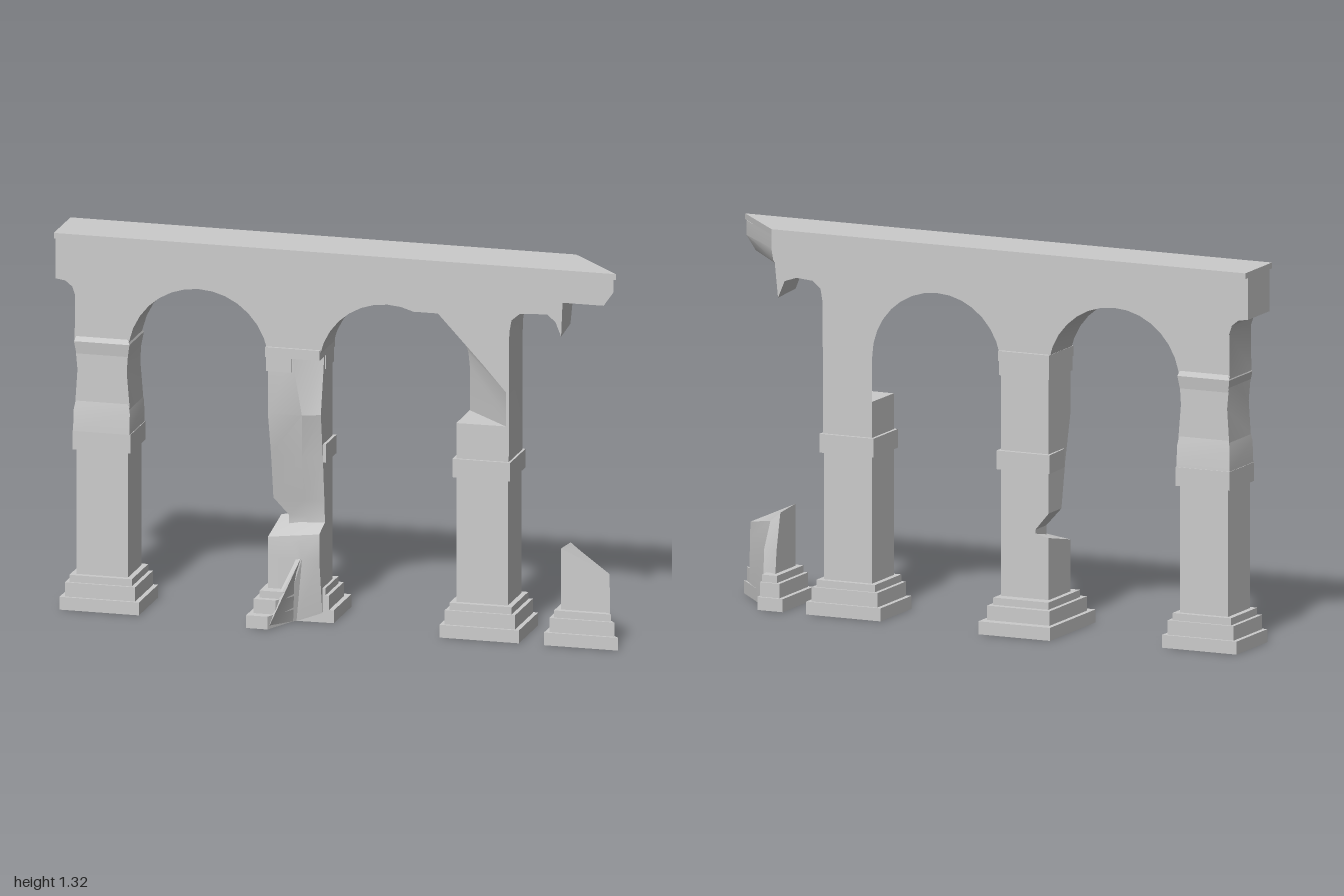
import * as THREE from 'three';
import { toCreasedNormals } from 'three/addons/utils/BufferGeometryUtils.js';

const material = new THREE.MeshStandardMaterial({ color: 0xcccccc });

// Skins a stack of matching [x, y, z] rings along local z and caps both ends.
function skin(rings) {
  const flat = (r) => r.map((p) => new THREE.Vector2(p[0], p[1]));
  if (THREE.ShapeUtils.isClockWise(flat(rings[0]))) rings = rings.map((r) => [...r].reverse());
  const pos = [];
  const tri = (...pts) => pts.forEach((p) => pos.push(...p));
  for (let i = 0; i < rings.length - 1; i++) {
    const lo = rings[i], hi = rings[i + 1];
    lo.forEach((a, j) => {
      const k = (j + 1) % lo.length;
      tri(a, lo[k], hi[k]);
      tri(a, hi[k], hi[j]);
    });
  }
  const first = rings[0], last = rings[rings.length - 1];
  for (const [a, b, c] of THREE.ShapeUtils.triangulateShape(flat(first), [])) tri(first[c], first[b], first[a]);
  for (const [a, b, c] of THREE.ShapeUtils.triangulateShape(flat(last), [])) tri(last[a], last[b], last[c]);
  const g = new THREE.BufferGeometry();
  g.setAttribute('position', new THREE.Float32BufferAttribute(pos, 3));
  return g;
}

// Upright stone: each layer is [height, [[x, z, ownHeight?], ...]].
function stone(...layers) {
  return skin(layers.map(([h, plan]) => plan.map(([x, z, y = h]) => [x, -z, y]))).rotateX(-Math.PI / 2);
}

const rect = (x0, x1, z0, z1) => [[x0, z1], [x1, z1], [x1, z0], [x0, z0]];

export function createModel() {
  const root = new THREE.Group();
  const add = (name, geometry, parent = root) => {
    const mesh = new THREE.Mesh(toCreasedNormals(geometry, 0.4), material);
    mesh.name = name;
    parent.add(mesh);
  };
  const group = (name) => {
    const g = new THREE.Group();
    g.name = name;
    root.add(g);
    return g;
  };
  const block = (name, x0, x1, y0, y1, z0, z1, parent) =>
    add(name, stone([y0, rect(x0, x1, z0, z1)], [y1, rect(x0, x1, z0, z1)]), parent);

  // Base step heights and how far each step sits in from the plinth
  const steps = [[0, 0.045, 0], [0.045, 0.095, 0.016], [0.095, 0.12, 0.03]];

  // Arcade wall: one outline at the front, a matching one at the back
  const front = [], back = [];
  const both = (...pts) => pts.forEach((p) => { front.push(p); back.push(p); });
  const split = (f, b) => { front.push(f); back.push(b); };
  const arch = (cx, r, edit) => {
    for (let i = 0; i <= 16; i++) {
      const t = Math.PI * (1 - i / 16);
      edit([cx + r * Math.cos(t), 0.905 + r * Math.sin(t)], i);
    }
  };
  // left end and worn left leg
  both([-1, 1.3], [-1, 1.155], [-0.965, 1.15], [-0.94, 1.13], [-0.93, 1.1], [-0.932, 0.95],
    [-0.922, 0.84], [-0.93, 0.72], [-0.925, 0.6], [-0.742, 0.6], [-0.738, 0.72], [-0.748, 0.84]);
  // first arch, ending on the middle capital
  arch(-0.495, 0.249, (p, i) => both(i === 16 ? [p[0], 0.94] : p));
  // second arch, broken away at the front of its right haunch
  const broken = [[0.29, 1.13], [0.35, 1.13], [0.43, 1.045], [0.51, 0.96], [0.59, 0.87], [0.59, 0.8]];
  arch(0.172, 0.243, (p, i) => {
    if (i === 0) both([p[0], 0.94]);
    else split(i > 10 ? broken[i - 11] : p, p);
  });
  split([0.59, 0.75], [0.415, 0.75]);
  both([0.415, 0.749], [0.415, 0.6], [0.6, 0.6], [0.602, 1.08], [0.61, 1.125], [0.64, 1.15]);
  // ragged right end, running back at a slant
  split([0.735, 1.155], [0.7, 1.155]);
  split([0.765, 1.13], [0.745, 1.14]);
  split([0.785, 1.08], [0.77, 1.08]);
  split([0.79, 1.2], [0.782, 1.2]);
  split([0.935, 1.2], [0.788, 1.21]);
  split([0.97, 1.25], [0.795, 1.25]);
  split([0.97, 1.3], [0.795, 1.3]);
  add('arcadeWall', skin([back.map(([x, y]) => [x, y, -0.085]), front.map(([x, y]) => [x, y, 0.085])]));

  // Cornice slab
  const slab = [[-1, 0.105], [0.985, 0.105], [0.785, -0.105], [-1, -0.105]];
  add('cornice', stone([1.3, slab], [1.32, slab]));

  // Outer columns: stepped base, shaft and band
  for (const [name, cx] of [['leftColumn', -0.835], ['rightColumn', 0.506]]) {
    const g = group(name);
    steps.forEach(([y0, y1, d]) => {
      const w = 0.14 - d, z = 0.122 - d * 0.6;
      block('baseStep', cx - w, cx + w, y0, y1, -z, z, g);
    });
    block('shaft', cx - 0.091, cx + 0.091, 0.12, 0.6, -0.085, 0.085, g);
    block('band', cx - 0.102, cx + 0.102, 0.56, 0.625, -0.097, 0.094, g);
  }
  // Worn stone swelling above the left band and at its old capital
  const worn = (w, z) => rect(-0.835 - w, -0.835 + w, -z, z);
  add('wornBand', stone([0.625, worn(0.1, 0.094)], [0.7, worn(0.099, 0.09)], [0.76, worn(0.088, 0.08)]));
  add('wornCapital', stone([0.86, worn(0.085, 0.08)], [0.94, worn(0.098, 0.091)], [0.96, worn(0.09, 0.084)]));

  // Middle column: wide base with its front corner split away
  const mid = group('middleColumn');
  [[-0.3, -0.03, 0.18, 0], [-0.283, -0.047, 0.147, 0.02], [-0.268, -0.06, 0.125, 0.04]].forEach(([x0, x1, z, s], i) => {
    const plan = [[x0, z], [-0.225 + s, z], [-0.165 + s * 0.5, 0.045], [x1, 0.04], [x1, -z], [x0, -z]];
    add('brokenBaseStep', stone([steps[i][0], plan], [steps[i][1], plan]), mid);
  });
  // spur of stone rising beside the split
  add('baseSpur', stone(
    [0, [[-0.25, 0.15], [-0.225, 0.175], [-0.165, 0.045], [-0.25, 0.045]]],
    [0.23, [[-0.15, 0.084], [-0.135, 0.085], [-0.13, 0.06], [-0.15, 0.06]]]), mid);
  // stump with a sloping broken top
  add('brokenStump', stone(
    [0, [[-0.25, 0.085], [-0.2, 0.085], [-0.16, 0.045], [-0.07, 0.035], [-0.07, -0.085], [-0.25, -0.085]]],
    [0.23, [[-0.25, 0.085], [-0.145, 0.085], [-0.13, 0.083], [-0.07, 0.08], [-0.07, -0.085], [-0.25, -0.085]]],
    [0.3, [[-0.25, 0.085, 0.3], [-0.17, 0.085, 0.29], [-0.14, 0.085, 0.29], [-0.07, 0.08, 0.32],
      [-0.07, -0.085, 0.375], [-0.25, -0.085, 0.335]]]), mid);
  // shaft eaten away from the front, thinnest just above the stump
  add('erodedShaft', stone(
    [0.32, [[-0.2, 0], [-0.13, 0.005], [-0.07, 0.01], [-0.07, -0.085], [-0.2, -0.085]]],
    [0.36, [[-0.2, 0], [-0.13, 0.005], [-0.07, 0.01], [-0.07, -0.085], [-0.2, -0.085]]],
    [0.42, [[-0.25, 0.015], [-0.14, 0.02], [-0.07, 0.015], [-0.07, -0.085], [-0.25, -0.085]]],
    [0.58, [[-0.25, 0.045], [-0.14, 0.05], [-0.07, 0.035], [-0.07, -0.085], [-0.25, -0.085]]],
    [0.735, [[-0.25, 0.085], [-0.13, 0.085], [-0.07, 0.06], [-0.07, -0.085], [-0.25, -0.085]]],
    [0.94, [[-0.25, 0.085], [-0.165, 0.085], [-0.07, 0.015], [-0.07, -0.085], [-0.25, -0.085]]]), mid);
  const band = [[-0.255, 0.03], [-0.06, 0.03], [-0.06, -0.1], [-0.26, -0.1]];
  add('band', stone([0.56, band], [0.625, band]), mid);
  block('capital', -0.257, -0.065, 0.935, 0.97, -0.098, 0.095, mid);
  block('capitalFront', -0.254, -0.165, 0.885, 0.935, -0.05, 0.092, mid);
  block('capitalBack', -0.254, -0.066, 0.885, 0.935, -0.092, 0.01, mid);

  // Far stump, sheared off along a slant
  const far = group('farStump');
  steps.forEach(([y0, y1, d]) => {
    const z = 0.122 - d * 0.6;
    const plan = [[0.735 + d, z], [0.997 - d, z], [0.835 - d * 0.3, -0.06], [0.83 - d * 0.3, -z], [0.735 + d, -z]];
    add('baseStep', stone([y0, plan], [y1, plan]), far);
  });
  add('brokenShaft', stone(
    [0.02, [[0.785, 0.085], [0.96, 0.085], [0.84, -0.06], [0.785, -0.085]]],
    [0.2, [[0.785, 0.085], [0.957, 0.085], [0.835, -0.058], [0.785, -0.065]]],
    [0.3, [[0.785, 0.085, 0.335], [0.955, 0.085, 0.258], [0.82, -0.04, 0.295], [0.785, -0.035, 0.325]]]), far);

  return root;
}
